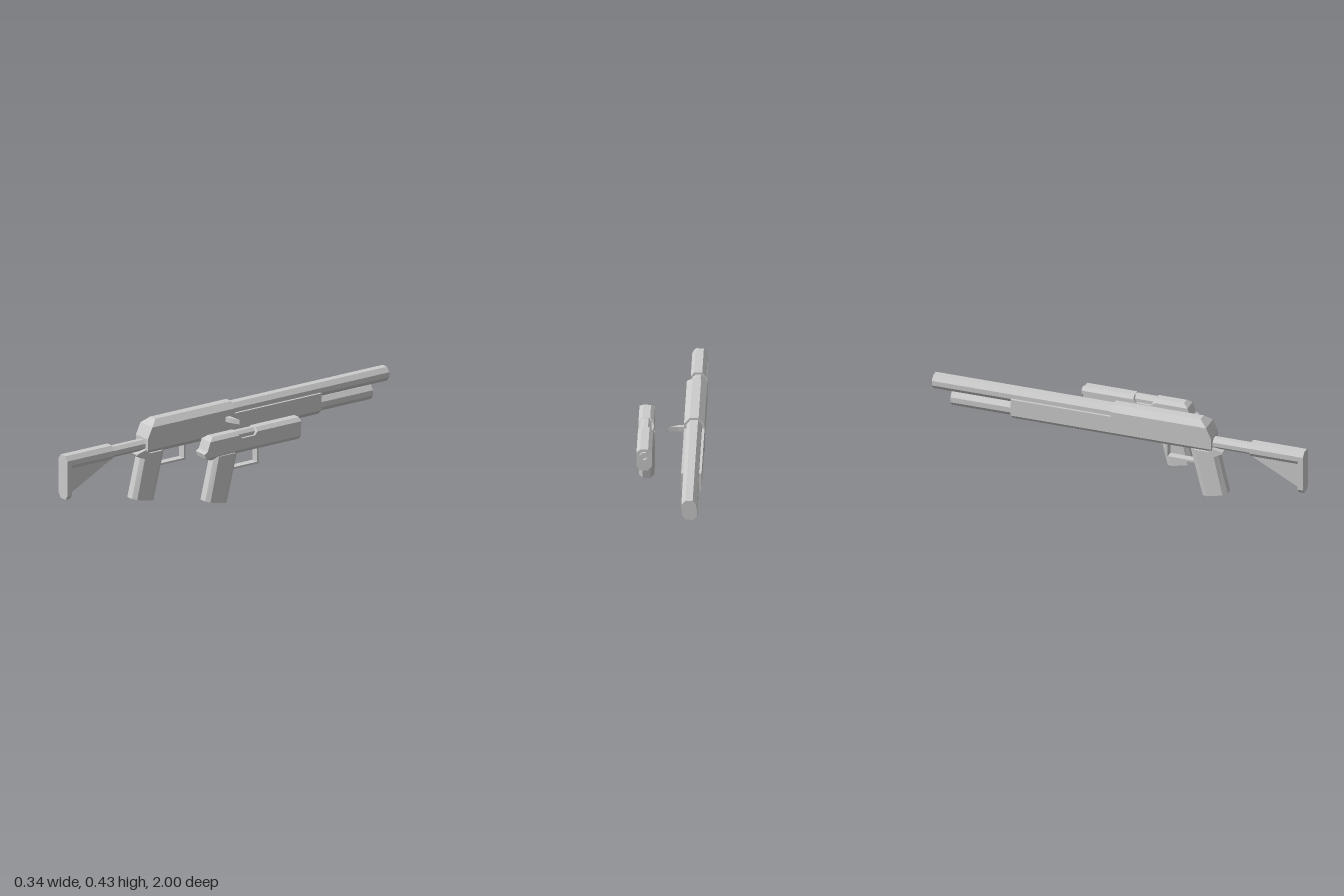
import * as THREE from 'three';

const material = new THREE.MeshStandardMaterial({ color: 0xcccccc, flatShading: true });

function add(group, name, geometry) {
  const mesh = new THREE.Mesh(geometry, material);
  mesh.name = name;
  group.add(mesh);
  return mesh;
}

// Skins mirrored cross-sections; each section is a list of [halfWidth, y, z] rows.
function loft(sections) {
  const rings = sections.map(rows => [
    ...rows.map(([w, y, z]) => new THREE.Vector3(w, y, z)),
    ...[...rows].reverse().map(([w, y, z]) => new THREE.Vector3(-w, y, z)),
  ]);
  const n = rings[0].length;
  const tris = [];
  const quad = (a, b, c, d) => tris.push([a, b, c], [a, c, d]);
  for (let s = 0; s < rings.length - 1; s++) {
    for (let i = 0; i < n; i++) {
      const j = (i + 1) % n;
      quad(rings[s][i], rings[s][j], rings[s + 1][j], rings[s + 1][i]);
    }
  }
  // end caps in strips across the width
  const first = rings[0], last = rings[rings.length - 1];
  for (let i = 0; i < n / 2 - 1; i++) {
    quad(first[i + 1], first[i], first[n - 1 - i], first[n - 2 - i]);
    quad(last[i], last[i + 1], last[n - 2 - i], last[n - 1 - i]);
  }
  // turn the faces outward if the signed volume is negative
  const volume = tris.reduce((v, [a, b, c]) => v + a.dot(b.clone().cross(c)), 0);
  const points = tris.flatMap(([a, b, c]) => (volume < 0 ? [a, c, b] : [a, b, c]));
  const geometry = new THREE.BufferGeometry().setFromPoints(points);
  geometry.computeVertexNormals();
  return geometry;
}

// Straight bar with chamfered edges, from z0 to z1.
function octBar(z0, z1, y0, y1, w, flat, bevel) {
  const at = z => [[flat, y0, z], [w, y0 + bevel, z], [w, y1 - bevel, z], [flat, y1, z]];
  return loft([at(z0), at(z1)]);
}

function box(w, y0, y1, z0, z1) {
  return new THREE.BoxGeometry(w, y1 - y0, z1 - z0).translate(0, (y0 + y1) / 2, (z0 + z1) / 2);
}

// Slanted grip and trigger guard, shared by both models.
function addGrip(group, dz, guardY) {
  const bottom = [[0.02, 0.032, 0.308], [0.039, 0.027, 0.288], [0.039, 0.007, 0.204], [0.02, 0, 0.174]];
  const top = [[0.02, 0.262, 0.252], [0.039, 0.262, 0.234], [0.039, 0.262, 0.138], [0.02, 0.262, 0.108]];
  add(group, 'grip', loft([bottom, top])).position.z = dz;
  add(group, 'triggerGuardBar', box(0.04, guardY, guardY + 0.01, -0.025, 0.14)).position.z = dz;
  add(group, 'triggerGuardPost', box(0.04, guardY, 0.262, -0.025, -0.015)).position.z = dz;
}

function createLongGun() {
  const g = new THREE.Group();
  g.name = 'longGun';

  // receiver with a sloped upper back
  const profile = [[0.022, 0.257, 0.51], [0.052, 0.284, 0.51], [0.052, 0.343, 0.51],
    [0.052, 0.402, 0.482], [0.022, 0.433, 0.443]];
  add(g, 'receiver', loft([profile, profile.map(([w, y]) => [w, y, -0.03])]));

  // forend, flat on top
  const forend = z => [[0.022, 0.257, z], [0.052, 0.284, z], [0.052, 0.375, z]];
  add(g, 'forend', loft([forend(0), forend(-0.57)]));

  // barrel and tube below it
  add(g, 'barrel', octBar(-1, 0, 0.348, 0.422, 0.039, 0.019, 0.024));
  add(g, 'magazineTube', octBar(-0.9, -0.5, 0.27, 0.346, 0.039, 0.019, 0.024));

  // shoulder stock
  add(g, 'stockTube', octBar(0.48, 0.73, 0.276, 0.332, 0.03, 0.013, 0.017));
  add(g, 'stock', octBar(0.71, 0.99, 0.27, 0.343, 0.0385, 0.02, 0.023));
  add(g, 'buttPlate', octBar(0.972, 1, 0.11, 0.343, 0.0385, 0.02, 0.023));
  add(g, 'stockWeb', loft([
    [[0.02, 0.268, 0.72], [0.02, 0.29, 0.72]],
    [[0.02, 0.132, 0.98], [0.02, 0.29, 0.98]],
  ]));

  // tang above the grip
  add(g, 'gripTang', loft([
    [[0.02, 0.255, 0.56], [0.039, 0.263, 0.566], [0.039, 0.27, 0.566]],
    [[0.02, 0.215, 0.49], [0.039, 0.222, 0.49], [0.039, 0.29, 0.49]],
  ]));
  addGrip(g, 0.279, 0.177);

  // curved side handle
  const shape = new THREE.Shape([[0.045, 0], [0.085, 0], [0.13, 0.005], [0.107, -0.008],
    [0.082, -0.021], [0.045, -0.03]].map(([x, y]) => new THREE.Vector2(x, y)));
  const handle = new THREE.ExtrudeGeometry(shape, { depth: 0.025, bevelEnabled: false });
  add(g, 'chargingHandle', handle.rotateX(-Math.PI / 2).translate(0, 0.343, 0));

  g.position.x = -0.118;
  return g;
}

function createHandgun() {
  const g = new THREE.Group();
  g.name = 'handgun';

  // frame and slide, with a notch in the top
  const section = (z, shoulder, top) => [[0.02, 0.252, z], [0.039, 0.273, z], [0.039, 0.29, z],
    [0.039, 0.3, z], [0.039, shoulder, z], [0.02, top, z]];
  const rear = [[0.02, 0.245, 0.275], [0.039, 0.265, 0.316], [0.039, 0.29, 0.324],
    [0.039, 0.3, 0.305], [0.039, 0.35, 0.287], [0.02, 0.368, 0.262]];
  add(g, 'slideAndFrame', loft([
    rear,
    section(0.11, 0.35, 0.368),
    section(0.09, 0.332, 0.333),
    section(0.01, 0.332, 0.333),
    section(-0.005, 0.35, 0.368),
    section(-0.275, 0.35, 0.368),
  ]));

  // chamber seen in the notch
  add(g, 'chamber', octBar(-0.02, 0.125, 0.315, 0.366, 0.027, 0.012, 0.015));

  // hollow muzzle
  const ring = [[0.024, 0], [0.024, 0.016], [0.016, 0.016], [0.016, 0.002], [0, 0.002]]
    .map(([x, y]) => new THREE.Vector2(x, y));
  const muzzle = new THREE.LatheGeometry(ring, 8, Math.PI / 8);
  add(g, 'muzzle', muzzle.rotateX(-Math.PI / 2).translate(0, 0.332, -0.274));

  addGrip(g, 0, 0.17);
  g.position.x = 0.129;
  return g;
}

export function createModel() {
  const model = new THREE.Group();
  model.name = 'gunPair';
  model.add(createLongGun(), createHandgun());
  return model;
}
